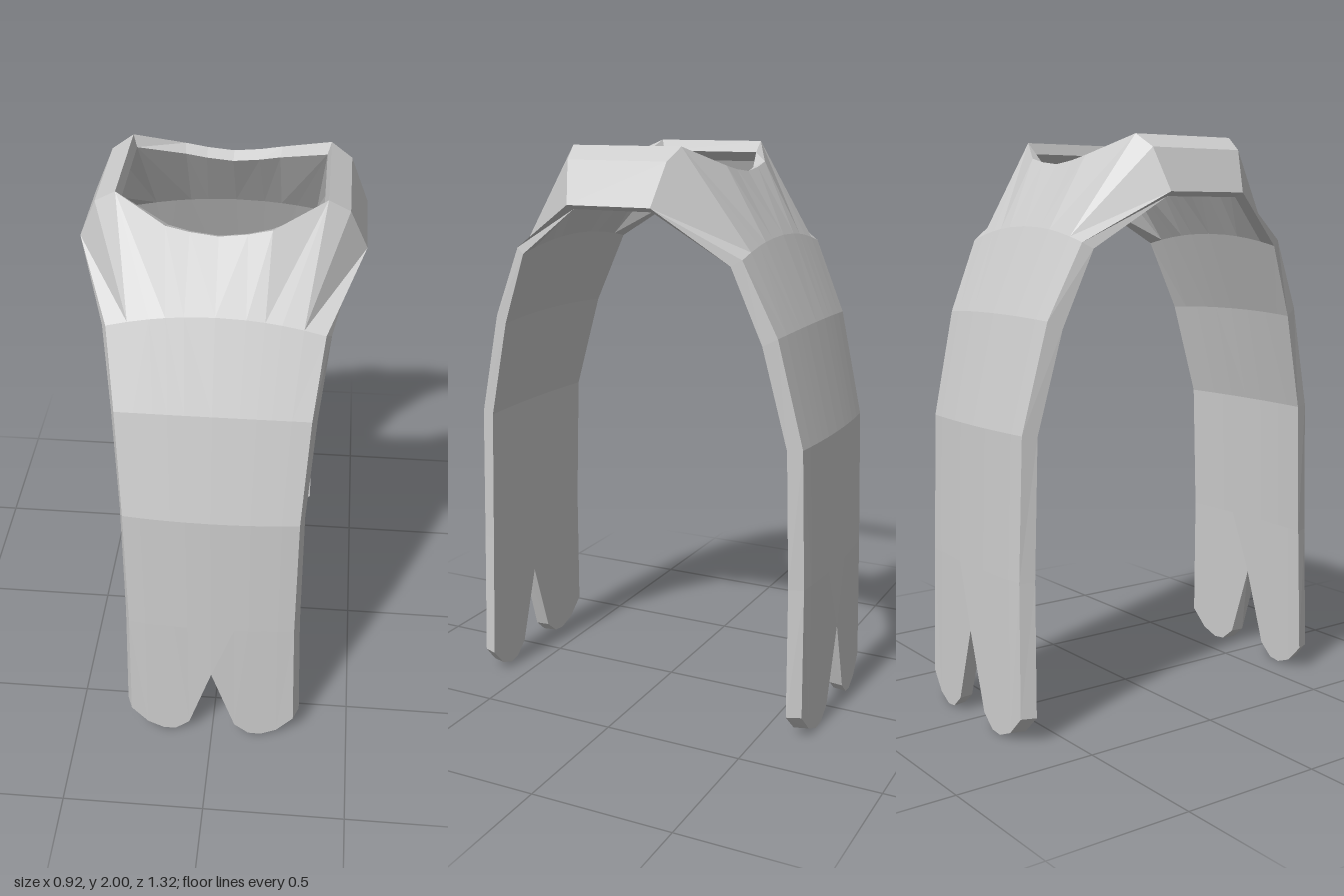
import * as THREE from 'three';

// Half columns across a panel: position from centre (0) to side edge (1)
const COLS = [0, 0.28, 0.45, 0.6, 0.8, 1];
// Hem height of each half column: a notch in the middle, a rounded lobe either side
const HEM = [0.32, 0.05, 0.005, 0, 0.025, 0.09];
// Neckline, then shoulder edge, for each half column
const TOP_OUT = [[0, 1.91, 0.293], [0.09, 1.92, 0.29], [0.165, 1.935, 0.285], [0.33, 2, 0.2], [0.4, 1.955, 0.182], [0.46, 1.812, 0.153]];
const TOP_IN = [[0, 1.89, 0.253], [0.09, 1.9, 0.25], [0.16, 1.915, 0.243], [0.318, 1.96, 0.187], [0.37, 1.925, 0.165], [0.43, 1.797, 0.145]];
// Rows above the hem: y, half width, centre z, drop of the edge in y and in z
const OUT = [[0.55, 0.29, 0.655, 0, 0.015], [1.035, 0.293, 0.64, 0, 0.015], [1.41, 0.315, 0.552, 0.01, 0.014], [1.7, 0.345, 0.425, 0.05, 0.002]];
const INN = [[0.55, 0.308, 0.605, 0, 0.015], [1.03, 0.308, 0.59, 0, 0.015], [1.385, 0.332, 0.507, 0.01, 0.016], [1.67, 0.362, 0.39, 0.04, 0]];

// Mirrors a half row to a full row running from -x to +x
const fullRow = half => [...half.slice(1).reverse().map(([x, y, z]) => [-x, y, z]), ...half];

function surface(rows, hemWidth, hemZ, top) {
  const hem = COLS.map((u, i) => [u * hemWidth, HEM[i], hemZ - 0.015 * u * u]);
  const middle = rows.map(([y, w, z, dy, dz]) =>
    COLS.map(u => [u * w, y - dy * u * u, z - dz * u * u]));
  return [hem, ...middle, top].map(fullRow);
}

function meshFrom(name, material, build) {
  const points = [];
  build((a, b, c, d) => points.push(...a, ...b, ...c, ...a, ...c, ...d));
  const geometry = new THREE.BufferGeometry();
  geometry.setAttribute('position', new THREE.Float32BufferAttribute(points, 3));
  geometry.computeVertexNormals();
  const mesh = new THREE.Mesh(geometry, material);
  mesh.name = name;
  return mesh;
}

export function createModel() {
  const group = new THREE.Group();
  group.name = 'tabard';
  const cloth = new THREE.MeshStandardMaterial({ color: 0xcccccc });
  cloth.name = 'grey cloth';
  cloth.flatShading = true;

  const O = surface(OUT, 0.3, 0.662, TOP_OUT);
  const I = surface(INN, 0.32, 0.612, TOP_IN);
  const last = O.length - 1;
  const flipped = [0, 2, 3, 4, 8]; // columns whose diagonal runs the other way

  // Hanging panel with thickness
  const buildPanel = quad => {
    for (let r = 0; r < last; r++) {
      for (let c = 0; c < 10; c++) {
        const o = [O[r][c], O[r][c + 1], O[r + 1][c + 1], O[r + 1][c]];
        const i = [I[r][c], I[r + 1][c], I[r + 1][c + 1], I[r][c + 1]];
        if (flipped.includes(c)) {
          o.push(o.shift());
          i.push(i.shift());
        }
        quad(...o);
        quad(...i);
      }
      // Side edges
      quad(O[r][10], I[r][10], I[r + 1][10], O[r + 1][10]);
      quad(I[r][0], O[r][0], O[r + 1][0], I[r + 1][0]);
    }
    // Hem edge
    for (let c = 0; c < 10; c++) quad(I[0][c], I[0][c + 1], O[0][c + 1], O[0][c]);
    // Neckline edge
    for (let c = 2; c < 8; c++) quad(O[last][c], O[last][c + 1], I[last][c + 1], I[last][c]);
  };

  // Shoulder strap joining the two panels
  const buildStrap = quad => {
    const back = ([x, y, z]) => [x, y, -z];
    const span = (p, q) => quad(p, back(p), back(q), q);
    const o = O[last], i = I[last];
    for (const c of [8, 9]) {
      span(o[c + 1], o[c]);
      span(i[c], i[c + 1]);
    }
    span(o[8], i[8]);
    span(i[10], o[10]);
  };

  const parts = [['frontPanel', buildPanel, 0], ['backPanel', buildPanel, Math.PI],
    ['leftShoulder', buildStrap, 0], ['rightShoulder', buildStrap, Math.PI]];
  for (const [name, build, turn] of parts) {
    const mesh = meshFrom(name, cloth, build);
    mesh.rotation.y = turn;
    group.add(mesh);
  }
  return group;
}
